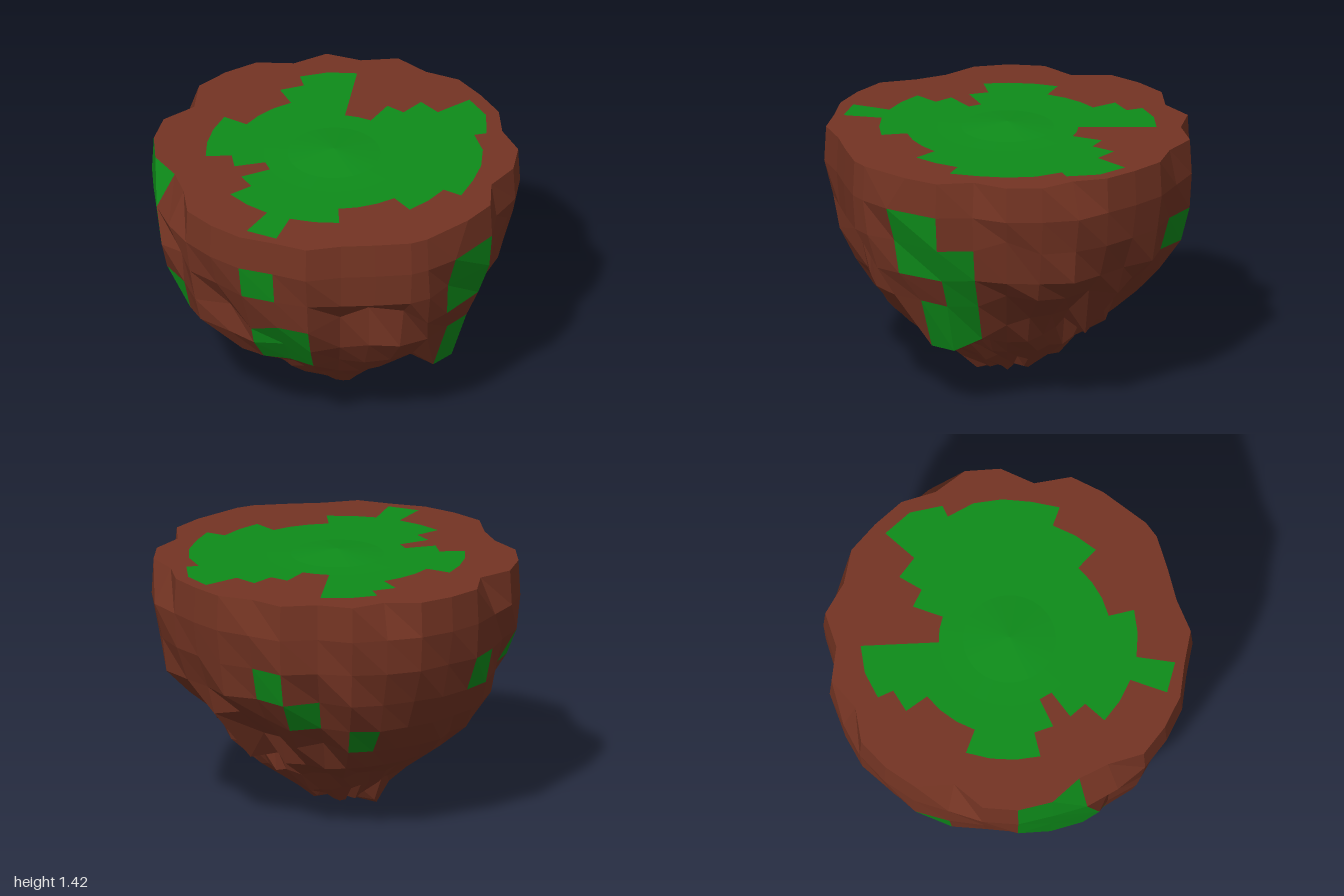
import * as THREE from 'three';

const SEG = 32;
// Rim outline, one radius per segment, from +x turning towards +z
const outline = [
  1.0, .995, .95, .935, .985, .96, .985, .985, .985, .98, .98, .97, .99, .985, .97, .995,
  1.0, 1.0, .985, .995, .94, 1.01, .985, 1.0, .985, .985, 1.02, 1.0, .985, .93, .995, .99];
// Places where the top rim is pinched in above a bulging wall
const pinch = { 9: .08, 10: .09, 14: .08, 18: .06, 26: .08, 22: .03, 29: .02 };

// Rings from the top centre out to the rim: [radius, height]
const topRings = [[0, 1.42], [.25, 1.391], [.38, 1.388], [.55, 1.388], [.69, 1.388], [.8, 1.388], [.9, 1.388]];
// Rings from the rim down to the tip
const wallRings = [
  [.99, 1.388], [1, 1.195], [.97, 1.0], [.92, .81], [.835, .64], [.72, .49],
  [.565, .362], [.41, .265], [.28, .16], [.165, .07], [0, .045]];

// Grass reaches this top ring in each segment
const grassReach = [
  3, 3, 3, 4, 4, 6, 4, 4, 3, 2, 3, 4, 4, 4, 3, 3,
  3, 4, 5, 5, 2, 2, 3, 4, 6, 6, 5, 5, 5, 5, 4, 4];
// Moss patches on the wall: row -> segments
const moss = {
  0: [10, 11], 1: [5, 10, 11, 30], 2: [10, 11, 14, 21, 29, 30],
  3: [4, 5, 9, 10, 20, 29], 4: [4, 5, 18, 29, 30]
};

// Dents, overhangs and hanging points:
// 'row,segment' -> [radius change, height change, sideways shift in segments]
const knobs = {
  // sideways leaning edges near the moss
  '0,0': [0, 0, .5], '1,0': [0, 0, .5], '2,0': [0, 0, .4], '3,0': [0, 0, .3],
  '1,31': [.01, 0, .58], '2,31': [-.03, 0, .58], '3,31': [.01, 0, .5],
  '2,10': [.02, 0, -.4], '2,28': [0, .07, 0], '3,6': [-.04, -.07, 0],
  // recess on the left side
  '3,1': [-.03, .09, 0], '3,2': [-.09, .09, 0], '3,3': [-.05, .05, 0],
  '4,1': [0, .01, 0], '4,2': [0, .02, 0],
  // dents and a bulge in the front wall
  '3,7': [-.08, 0, 0], '4,7': [-.02, 0, 0], '2,7': [-.03, 0, 0], '2,9': [-.05, 0, 0],
  '4,8': [.06, .03, 0], '4,9': [.03, 0, 0], '3,12': [-.05, 0, 0],
  // undercut shelf below the front wall
  '6,5': [-.02, .02, 0], '6,6': [-.04, .03, 0], '6,7': [-.05, .03, 0],
  '6,8': [-.05, .03, 0], '6,9': [-.04, .03, 0], '6,10': [-.02, .02, 0],
  // low flat ledge on the left side
  '5,29': [0, -.07, 0], '5,30': [.02, -.13, 0], '5,31': [.01, -.135, 0],
  '6,29': [-.08, 0, 0], '6,30': [-.11, -.01, 0], '6,31': [-.1, -.015, 0],
  // overhang at the back, cut in below
  '4,22': [-.02, .04, 0], '4,23': [-.04, .05, 0], '4,24': [.02, .01, 0], '4,25': [-.02, .05, 0],
  '4,26': [-.03, .05, 0], '4,27': [.01, .06, 0], '4,28': [0, .07, 0],
  '5,21': [-.03, .02, 0], '5,22': [-.07, .04, 0], '5,23': [-.11, .04, 0], '5,25': [-.11, .04, 0],
  '5,26': [-.1, .04, 0], '5,27': [-.08, .03, 0], '5,28': [-.05, 0, 0],
  '5,20': [-.03, .03, 0],
  // hanging point at the back
  '5,24': [-.13, -.13, 0], '6,24': [-.14, .05, 0], '6,23': [-.08, .03, 0], '6,25': [-.08, .02, 0], '6,26': [-.05, .01, 0],
  // teeth around the tip
  '9,11': [.02, -.055, 0], '9,12': [.04, -.064, 0], '9,13': [.05, -.064, 0], '8,12': [.02, -.03, 0],
  '9,1': [.02, 0, 0], '9,2': [.03, 0, 0], '9,3': [.02, 0, 0], '9,26': [-.03, .05, 0],
  '9,22': [-.03, .05, 0], '9,17': [-.03, .05, 0], '9,7': [-.03, .05, 0]
};

// Small repeatable noise in -1..1
function noise(a, b) {
  const s = Math.sin(a * 127.1 + b * 311.7) * 43758.5453;
  return (s - Math.floor(s)) * 2 - 1;
}

function polar(r, y, i) {
  const a = i / SEG * Math.PI * 2;
  return [r * Math.cos(a), y, r * Math.sin(a)];
}

function wallPoint(k, segment) {
  const i = segment % SEG;
  let [r, y] = wallRings[k];
  if (k < 6) r *= outline[i];
  if (k === 0) r -= pinch[i] || 0;
  if (k > 1) {
    r *= 1 + noise(k, i) * (k > 6 ? .08 : .025);
    if (k > 2 && k < 10) y += noise(k + 20, i) * (k > 6 ? .02 : .006);
  }
  const [dr, dy, shift] = knobs[`${k},${i}`] || [0, 0, 0];
  return polar(r + dr, Math.max(0, y + dy), i + shift);
}

// Top rings follow a pinched rim inwards near the edge
function topPoint(j, segment) {
  if (j === topRings.length) return wallPoint(0, segment);
  const squeeze = 1 - (pinch[segment % SEG] || 0) * Math.max(0, j - 4) * .4;
  return polar(topRings[j][0] * squeeze, topRings[j][1], segment);
}

// One cell between two rings, leaving out the empty half at the poles
function addCell(list, point, k, i) {
  const a = point(k, i), b = point(k, i + 1), c = point(k + 1, i + 1), d = point(k + 1, i);
  const same = (p, q) => Math.hypot(p[0] - q[0], p[2] - q[2]) < 1e-5;
  if (!same(a, b)) list.push(...a, ...b, ...d);
  if (!same(c, d)) list.push(...b, ...c, ...d);
}

function makeMesh(name, list, color) {
  const geometry = new THREE.BufferGeometry();
  geometry.setAttribute('position', new THREE.Float32BufferAttribute(list, 3));
  geometry.computeVertexNormals();
  const material = new THREE.MeshStandardMaterial({ color, flatShading: true });
  const mesh = new THREE.Mesh(geometry, material);
  mesh.name = name;
  return mesh;
}

export function createModel() {
  const soilTop = [], grass = [], rock = [], mossPatches = [];

  for (let i = 0; i < SEG; i++) {
    // Flat top: grass in the middle, bare soil out to the rim
    for (let j = 0; j < topRings.length; j++) {
      addCell(j < grassReach[i] ? grass : soilTop, topPoint, j, i);
    }
    // Rough wall tapering to the hanging tip
    for (let k = 0; k + 1 < wallRings.length; k++) {
      addCell((moss[k] || []).includes(i) ? mossPatches : rock, wallPoint, k, i);
    }
  }

  const group = new THREE.Group();
  group.name = 'floatingIsland';
  group.add(
    makeMesh('soilTop', soilTop, 0x743423),
    makeMesh('grass', grass, 0x0e8c1a),
    makeMesh('rockBody', rock, 0x743423),
    makeMesh('mossPatches', mossPatches, 0x0e8c1a));
  return group;
}
